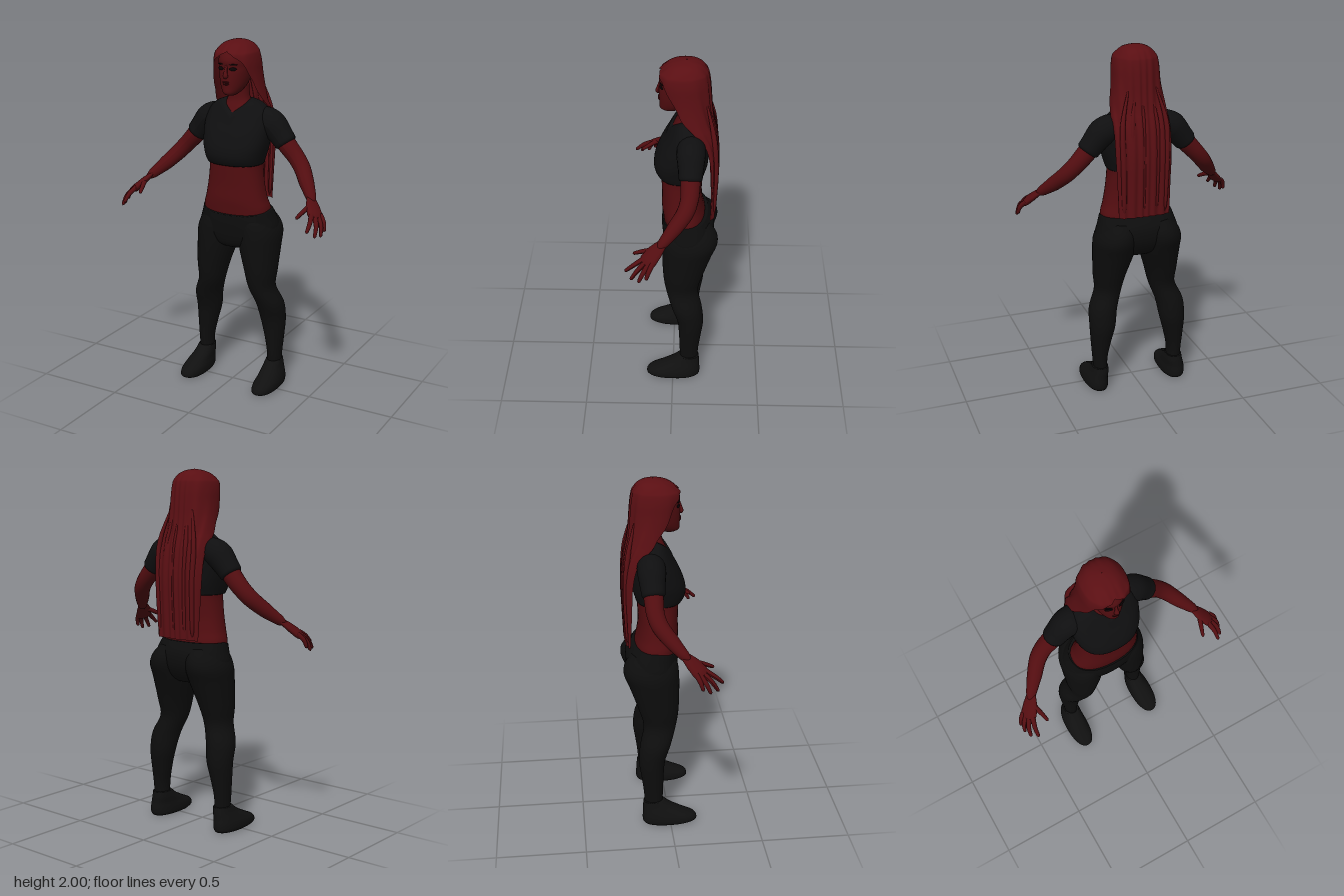
import * as THREE from 'three';

const V = (x, y, z) => new THREE.Vector3(x, y, z);
const material = (name, color, side = THREE.FrontSide) => {
  const m = new THREE.MeshStandardMaterial({ color, side });
  m.name = name;
  return m;
};

// Catmull-Rom through table rows, column by column
function sampleRows(rows, t) {
  const i = Math.min(Math.floor(t), rows.length - 2), f = t - i;
  const at = k => rows[THREE.MathUtils.clamp(k, 0, rows.length - 1)];
  return rows[i].map((_, c) => {
    const [p0, p1, p2, p3] = [at(i - 1)[c], at(i)[c], at(i + 1)[c], at(i + 2)[c]];
    const a = (p2 - p0) / 2, b = (p3 - p1) / 2;
    return p1 + a * f + (3 * (p2 - p1) - 2 * a - b) * f * f + (2 * (p1 - p2) + a + b) * f * f * f;
  });
}

// Loft of horizontal rings, bottom to top. Row: [y, centre x, half width, front z, back z, opening angle]
function loft(rows, { n = 40, power = 2, sub = 5, open = false, bend = () => {} } = {}) {
  const pos = [], idx = [], steps = (rows.length - 1) * sub, w = open ? n + 1 : n;
  for (let i = 0; i <= steps; i++) {
    const [y, cx, hw, zf, zb, gap = 0] = sampleRows(rows, i / sub);
    for (let j = 0; j < w; j++) {
      const g = Math.max(0, gap), th = g + (2 * Math.PI - 2 * g) * j / n;
      const s = Math.sin(th), c = Math.cos(th), e = 2 / power;
      const p = V(cx + hw * Math.sign(s) * Math.abs(s) ** e, y,
        (zf + zb) / 2 + (zf - zb) / 2 * Math.sign(c) * Math.abs(c) ** e);
      bend(p, th, i / steps);
      pos.push(p.x, p.y, p.z);
    }
  }
  for (let i = 0; i < steps; i++) for (let j = 0; j < n; j++) {
    const a = i * w + j, b = i * w + (j + 1) % w;
    idx.push(a, b, a + w, b, b + w, a + w);
  }
  if (!open) for (const i of [0, steps]) {
    const r = sampleRows(rows, i / sub), centre = pos.length / 3;
    pos.push(r[1], r[0], (r[3] + r[4]) / 2);
    for (let j = 0; j < n; j++) {
      const a = i * w + j, b = i * w + (j + 1) % n;
      idx.push(...(i ? [a, b, centre] : [b, a, centre]));
    }
  }
  const geo = new THREE.BufferGeometry();
  geo.setAttribute('position', new THREE.Float32BufferAttribute(pos, 3));
  geo.setIndex(idx);
  geo.computeVertexNormals();
  return geo;
}

// Tapered tube through points [x, y, z, radius], optionally flattened along a direction
function limb(points, { flat = null, n = 20, steps = 28 } = {}) {
  const curve = new THREE.CatmullRomCurve3(points.map(p => V(p[0], p[1], p[2])));
  const geo = new THREE.TubeGeometry(curve, steps, 1, n), pos = geo.attributes.position;
  const lengths = [0];
  points.slice(1).forEach((p, i) =>
    lengths.push(lengths[i] + Math.hypot(p[0] - points[i][0], p[1] - points[i][1], p[2] - points[i][2])));
  const total = lengths[lengths.length - 1];
  for (let i = 0; i <= steps; i++) {
    const u = i / steps, c = curve.getPointAt(u), d = u * total;
    let k = 0;
    while (k < points.length - 2 && d > lengths[k + 1]) k++;
    const f = Math.min(1, (d - lengths[k]) / (lengths[k + 1] - lengths[k]));
    const end = Math.sqrt(Math.min(1, (1 - u) * 12));
    const r = THREE.MathUtils.lerp(points[k][3], points[k + 1][3], f) * end;
    for (let j = 0; j <= n; j++) {
      const q = i * (n + 1) + j, o = V().fromBufferAttribute(pos, q).sub(c).multiplyScalar(r);
      if (flat) o.addScaledVector(flat, -0.55 * o.dot(flat));
      pos.setXYZ(q, c.x + o.x, c.y + o.y, c.z + o.z);
    }
  }
  geo.computeVertexNormals();
  return geo;
}

export function createModel() {
  const model = new THREE.Group();
  model.name = 'woman';
  const skin = material('skin', 0x520d10), hairRed = material('hair', 0x5a0f13, THREE.DoubleSide);
  const shirtBlack = material('shirt', 0x0f0f10), trouserBlack = material('leggings', 0x0d0d0d);
  const shoeBlack = material('shoes', 0x101010), makeup = material('eye makeup', 0x0c0405);
  const lipRed = material('lips', 0x3c080b);
  const add = (parent, name, geo, mat) => {
    const m = new THREE.Mesh(geo, mat);
    m.name = name;
    parent.add(m);
    return m;
  };

  // Bare midriff, neck and head
  add(model, 'midriff', loft([
    [0.98, 0, 0.2, 0.05, -0.18], [1.06, 0, 0.2, 0.06, -0.175], [1.12, 0, 0.182, 0.066, -0.163],
    [1.2, 0, 0.166, 0.065, -0.155], [1.3, 0, 0.155, 0.068, -0.16], [1.37, 0, 0.16, 0.07, -0.165],
  ], { power: 2.3 }), skin);
  add(model, 'neck', loft([
    [1.5, 0, 0.12, 0.035, -0.15], [1.58, 0, 0.11, 0.015, -0.15], [1.63, 0, 0.088, -0.006, -0.14],
    [1.68, 0, 0.062, -0.022, -0.125], [1.76, 0, 0.056, -0.018, -0.12],
  ], { power: 2.3 }), skin);
  add(model, 'head', loft([
    [1.705, 0, 0.024, 0.05, -0.01], [1.718, 0, 0.042, 0.072, -0.05], [1.75, 0, 0.063, 0.075, -0.1],
    [1.79, 0, 0.077, 0.077, -0.14], [1.83, 0, 0.085, 0.076, -0.155], [1.86, 0, 0.089, 0.072, -0.16],
    [1.9, 0, 0.089, 0.075, -0.16], [1.95, 0, 0.075, 0.045, -0.14], [1.98, 0, 0.035, -0.01, -0.1],
  ]), skin);
  add(model, 'nose', limb([[0, 1.875, 0.068, 0.006], [0, 1.84, 0.078, 0.009], [0, 1.815, 0.08, 0.015],
    [0, 1.805, 0.07, 0.009]], { n: 12 }), skin);
  const blob = (parent, name, at, size, mat, turn = 0) => {
    const m = add(parent, name, new THREE.SphereGeometry(1, 20, 12), mat);
    m.position.set(...at);
    m.scale.set(...size);
    m.rotation.y = turn;
  };
  blob(model, 'upperLip', [0, 1.781, 0.076], [0.021, 0.005, 0.007], lipRed);
  blob(model, 'lowerLip', [0, 1.771, 0.075], [0.018, 0.006, 0.008], lipRed);

  // Cropped shirt; the neckline dips to a V at the front
  add(model, 'shirt', loft([
    [1.32, 0, 0.158, 0.085, -0.168], [1.345, 0, 0.166, 0.1, -0.175], [1.38, 0, 0.176, 0.107, -0.185],
    [1.43, 0, 0.188, 0.099, -0.19], [1.5, 0, 0.196, 0.07, -0.194], [1.56, 0, 0.196, 0.036, -0.19],
    [1.61, 0, 0.178, 0.01, -0.18], [1.65, 0, 0.135, -0.01, -0.165], [1.67, 0, 0.088, -0.025, -0.14],
  ], {
    n: 64, power: 2.4,
    bend: p => {
      const k = THREE.MathUtils.clamp((p.y - 1.5) / 0.17, 0, 1);
      const dip = p.z > -0.08 ? 0.08 * k * Math.max(0, 1 - Math.abs(p.x) / 0.088) : 0;
      p.y -= dip;
      p.z += dip * 0.6;
    },
  }), shirtBlack);

  // Hips with a waistband lower at the front
  add(model, 'hips', loft([
    [0.83, 0, 0.1, 0.02, -0.16], [0.86, 0, 0.18, 0.045, -0.195], [0.91, 0, 0.235, 0.058, -0.222],
    [0.96, 0, 0.238, 0.063, -0.23], [1.01, 0, 0.222, 0.066, -0.222], [1.06, 0, 0.206, 0.064, -0.19],
  ], { power: 2.3, bend: (p, th, v) => { p.y -= 0.028 * v * Math.max(0, Math.cos(th)); } }), trouserBlack);

  // Long hair: a cap open around the face that flows into a flat sheet down the back
  add(model, 'hair', loft([
    [1.08, 0, 0.145, -0.18, -0.232, 1.57], [1.25, 0, 0.152, -0.165, -0.24, 1.57],
    [1.42, 0, 0.16, -0.15, -0.245, 1.57], [1.55, 0, 0.16, -0.11, -0.235, 1.57],
    [1.62, 0, 0.16, -0.03, -0.222, 1.55], [1.67, 0, 0.152, 0.01, -0.21, 1.4],
    [1.75, 0, 0.138, 0.045, -0.2, 1.15], [1.82, 0, 0.13, 0.068, -0.195, 0.98],
    [1.88, 0, 0.126, 0.078, -0.19, 0.75], [1.925, 0, 0.118, 0.077, -0.183, 0.25],
    [1.945, 0, 0.108, 0.062, -0.175, 0], [1.975, 0, 0.08, 0.025, -0.15, 0],
    [1.992, 0, 0.045, -0.02, -0.115, 0], [2, 0, 0.002, -0.066, -0.07, 0],
  ], {
    n: 120, power: 2.3, open: true,
    bend: (p, th, v) => {
      const fade = Math.min(1, (1 - v) * 2);
      p.z += 0.004 * fade * Math.sin(p.x * 150 + Math.sin(p.x * 40));
    },
  }), hairRed);
  for (const x of [-0.12, -0.065, 0.01, 0.07, 0.125])
    add(model, 'hairStrand', limb([[x * 0.6, 1.8, -0.17, 0.004], [x, 1.6, -0.215, 0.014],
      [x, 1.4, -0.228, 0.016], [x * 0.95, 1.09, -0.22, 0.012]], { n: 10 }), hairRed);

  // Everything that comes in pairs, built for the left side
  const left = new THREE.Group();
  left.name = 'leftSide';
  blob(left, 'eye', [0.037, 1.853, 0.064], [0.021, 0.009, 0.005], makeup, 0.4);
  blob(left, 'eyebrow', [0.04, 1.877, 0.064], [0.023, 0.0035, 0.004], makeup, 0.4);
  add(left, 'leg', loft([
    [0.11, 0.226, 0.039, -0.045, -0.145], [0.2, 0.228, 0.043, -0.04, -0.15], [0.3, 0.222, 0.058, -0.036, -0.163],
    [0.4, 0.212, 0.074, -0.026, -0.176], [0.5, 0.201, 0.08, 0.008, -0.166], [0.6, 0.164, 0.076, 0.04, -0.143],
    [0.7, 0.154, 0.092, 0.056, -0.168], [0.84, 0.136, 0.116, 0.062, -0.218], [0.92, 0.132, 0.119, 0.06, -0.248],
    [0.98, 0.122, 0.104, 0.052, -0.24], [1.03, 0.11, 0.07, 0.03, -0.2],
  ]), trouserBlack);
  add(left, 'shoe', loft([
    [0, 0.236, 0.058, 0.13, -0.148], [0.015, 0.238, 0.067, 0.155, -0.158], [0.045, 0.238, 0.067, 0.142, -0.16],
    [0.075, 0.236, 0.06, 0.08, -0.157], [0.11, 0.23, 0.052, 0.01, -0.156], [0.145, 0.228, 0.045, -0.035, -0.152],
  ], { power: 2.3 }), shoeBlack);
  add(left, 'sleeve', limb([[0.1, 1.57, -0.095, 0.06], [0.155, 1.56, -0.095, 0.076], [0.2, 1.54, -0.095, 0.077],
    [0.25, 1.485, -0.095, 0.067], [0.29, 1.435, -0.093, 0.061], [0.295, 1.427, -0.093, 0.058]]), shirtBlack);
  add(left, 'arm', limb([[0.22, 1.52, -0.095, 0.05], [0.29, 1.435, -0.094, 0.053], [0.35, 1.37, -0.09, 0.048],
    [0.395, 1.32, -0.07, 0.046], [0.45, 1.257, -0.015, 0.041], [0.51, 1.195, 0.05, 0.027],
    [0.53, 1.175, 0.075, 0.026]], { steps: 40 }), skin);
  const palmNormal = V(0.08, -0.12, 0.1).cross(V(0.05, 0, -0.12)).normalize();
  add(left, 'palm', limb([[0.505, 1.2, 0.045, 0.026], [0.535, 1.165, 0.085, 0.042], [0.565, 1.13, 0.12, 0.047],
    [0.58, 1.108, 0.14, 0.036]], { flat: palmNormal }), skin);
  const fingers = {
    thumb: [[0.525, 1.172, 0.095], [0.507, 1.148, 0.15], [0.491, 1.12, 0.203]],
    indexFinger: [[0.555, 1.135, 0.145], [0.57, 1.105, 0.195], [0.573, 1.065, 0.243]],
    middleFinger: [[0.567, 1.128, 0.13], [0.598, 1.09, 0.175], [0.606, 1.035, 0.212]],
    ringFinger: [[0.577, 1.126, 0.112], [0.612, 1.085, 0.145], [0.622, 1.03, 0.17]],
    littleFinger: [[0.584, 1.13, 0.095], [0.614, 1.095, 0.115], [0.625, 1.05, 0.13]],
  };
  for (const [name, [a, b, c]] of Object.entries(fingers))
    add(left, name, limb([[...a, 0.015], [...b, 0.0125], [...c, 0.009]], { n: 10, steps: 14 }), skin);
  const right = left.clone();
  right.name = 'rightSide';
  right.scale.x = -1;
  model.add(left, right);
  return model;
}
